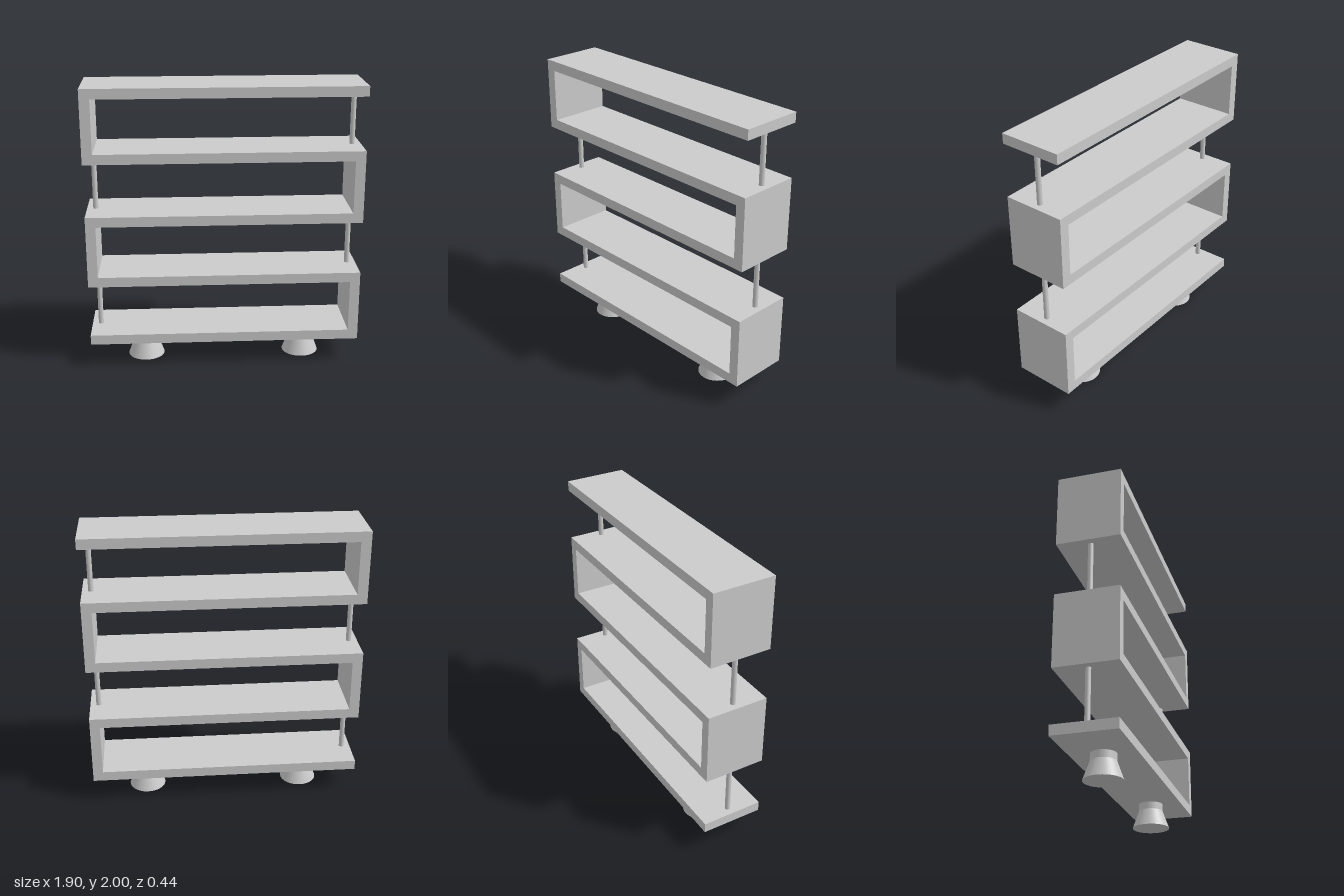
import * as THREE from 'three';

export function createModel() {
  const model = new THREE.Group();
  const material = new THREE.MeshStandardMaterial({ color: 0xcccccc });

  const halfWidth = 0.95, depth = 0.435, board = 0.07;
  const base = 0.175, top = 2, gaps = 4;
  const step = (top - board - base) / gaps;
  const inner = halfWidth - board;

  const add = (name, geometry, x, y, z) => {
    const mesh = new THREE.Mesh(geometry, material);
    mesh.name = name;
    mesh.position.set(x, y, z);
    model.add(mesh);
  };

  // Serpentine shelf: bays open alternately to the left and right
  const outline = [new THREE.Vector2(-halfWidth, base)];
  const cutBay = (i, side, upward) => {
    const low = base + i * step + board, high = base + (i + 1) * step;
    const [first, second] = upward ? [low, high] : [high, low];
    outline.push(
      new THREE.Vector2(side * halfWidth, first),
      new THREE.Vector2(-side * inner, first),
      new THREE.Vector2(-side * inner, second),
      new THREE.Vector2(side * halfWidth, second));
  };
  for (let i = 0; i < gaps; i += 2) cutBay(i, -1, true);
  outline.push(new THREE.Vector2(-halfWidth, top), new THREE.Vector2(halfWidth, top));
  for (let i = gaps - 1; i > 0; i -= 2) cutBay(i, 1, false);
  outline.push(new THREE.Vector2(halfWidth, base));
  add('serpentineShelf', new THREE.ExtrudeGeometry(new THREE.Shape(outline),
    { depth, bevelEnabled: false }), 0, 0, -depth / 2);

  // Slim posts supporting the open end of each bay
  const postHeight = step - board;
  const postGeometry = new THREE.CylinderGeometry(0.018, 0.018, postHeight, 24);
  for (let i = 0; i < gaps; i++) {
    const side = i % 2 ? 1 : -1;
    add('supportPost', postGeometry, side * 0.89, base + i * step + board + postHeight / 2, 0);
  }

  // Feet: a flared cone under a short neck
  const neckBottom = 0.125, neckRadius = 0.085;
  const flare = new THREE.CylinderGeometry(neckRadius, 0.13, neckBottom, 48);
  const neck = new THREE.CylinderGeometry(neckRadius, neckRadius, base - neckBottom, 48);
  for (const side of [-1, 1]) {
    add('footFlare', flare, side * 0.565, neckBottom / 2, 0);
    add('footNeck', neck, side * 0.565, (base + neckBottom) / 2, 0);
  }
  return model;
}
